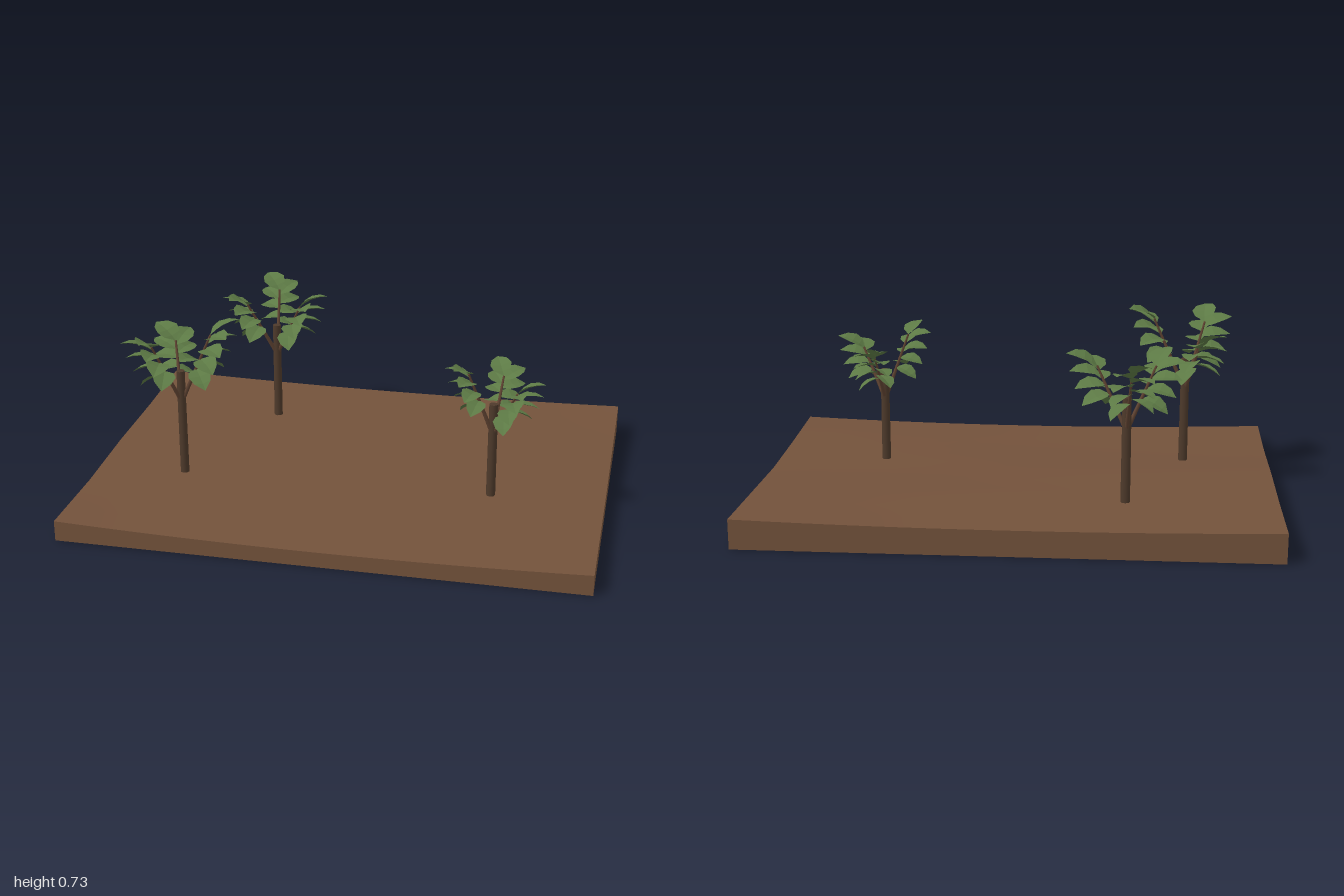
import * as THREE from 'three';

const soil = new THREE.MeshStandardMaterial({ color: 0x73523b });
soil.name = 'soil brown';
const bark = new THREE.MeshStandardMaterial({ color: 0x4e3a2b });
bark.name = 'trunk bark';
const twig = new THREE.MeshStandardMaterial({ color: 0x5e4231 });
twig.name = 'branch brown';
const green = new THREE.MeshStandardMaterial({ color: 0x5d7a45, side: THREE.DoubleSide });
green.name = 'leaf green';

// Ground heights: rows from back to front, each at left, middle and right of x
const HEIGHTS = [
  [0.115, 0.1, 0.115],
  [0.1, 0.098, 0.095],
  [0.095, 0.085, 0.075],
  [0.078, 0.07, 0.075],
  [0.08, 0.06, 0.08],
];
const DEPTH = 0.73;

function groundHeight(x, z) {
  const row = ([l, c, r]) => c + ((r - l) / 2) * x + ((l + r) / 2 - c) * x * x;
  const f = THREE.MathUtils.clamp(((z + DEPTH) / (2 * DEPTH)) * 4, 0, 4);
  const i = Math.min(3, Math.floor(f));
  return THREE.MathUtils.lerp(row(HEIGHTS[i]), row(HEIGHTS[i + 1]), f - i);
}

// Slab with a gently rolling top
function makeGround() {
  const geo = new THREE.BoxGeometry(2, 1, 2 * DEPTH, 16, 1, 12);
  const p = geo.attributes.position;
  for (let i = 0; i < p.count; i++) {
    p.setY(i, p.getY(i) > 0 ? groundHeight(p.getX(i), p.getZ(i)) : 0);
  }
  geo.computeVertexNormals();
  const mesh = new THREE.Mesh(geo, soil);
  mesh.name = 'ground';
  return mesh;
}

// Pointed leaf along +x: arched lengthwise, folded along the midrib
function makeLeafGeometry() {
  const stations = [
    [0, 0.006, 0], [0.2, 0.3, 0.05], [0.45, 0.38, 0.07], [0.75, 0.27, 0.03], [1, 0.005, -0.05],
  ];
  const pos = [];
  const index = [];
  stations.forEach(([x, w, y], i) => {
    pos.push(x, y + w * 0.22, -w, x, y, 0, x, y + w * 0.22, w);
    if (i === 0) return;
    for (let k = 0; k < 2; k++) {
      const a = (i - 1) * 3 + k;
      index.push(a, a + 1, a + 3, a + 1, a + 4, a + 3);
    }
  });
  const geo = new THREE.BufferGeometry();
  geo.setAttribute('position', new THREE.Float32BufferAttribute(pos, 3));
  geo.setIndex(index);
  const flat = geo.toNonIndexed();
  flat.computeVertexNormals();
  return flat;
}

// Tapered rod between two points
function makeRod(a, b, r0, r1, material, name) {
  const dir = b.clone().sub(a);
  const mesh = new THREE.Mesh(new THREE.CylinderGeometry(r1, r0, dir.length(), 8), material);
  mesh.position.copy(a).add(b).multiplyScalar(0.5);
  mesh.quaternion.setFromUnitVectors(new THREE.Vector3(0, 1, 0), dir.normalize());
  mesh.name = name;
  return mesh;
}

// Branch leaning outward along +x with leaves alternating left and right
function makeBranch(leafGeo, rise, size) {
  const branch = new THREE.Group();
  branch.name = 'branch';
  const start = new THREE.Vector3(0, 0, 0);
  const end = new THREE.Vector3(0.125 * size, rise, 0);
  branch.add(makeRod(start, end, 0.009, 0.004, twig, 'branchStem'));
  const count = 8;
  for (let i = 0; i < count; i++) {
    const t = i / (count - 1);
    const side = i % 2 ? -1 : 1;
    const leaf = new THREE.Mesh(leafGeo, green);
    leaf.name = 'leaf';
    leaf.position.lerpVectors(start, end, 0.5 + 0.5 * t);
    leaf.rotation.order = 'YZX';
    leaf.rotation.y = -side * (0.9 - 0.3 * t);
    leaf.rotation.z = -0.4 + 0.85 * t;
    leaf.rotation.x = side * 0.2;
    leaf.scale.setScalar((0.115 + 0.01 * t) * size);
    branch.add(leaf);
  }
  return branch;
}

// Each tree: place, trunk top, fork height, branches as [degrees from +x to +z, leaf top, size]
const TREES = [
  { x: -0.655, z: 0.21, top: 0.51, fork: 0.38, branches: [[-115, 0.64, 1], [3, 0.72, 1.03], [127, 0.69, 1.03]] },
  { x: -0.425, z: -0.385, top: 0.505, fork: 0.375, branches: [[-98, 0.67, 0.95], [25, 0.66, 1], [148, 0.66, 1]] },
  { x: 0.562, z: 0.16, top: 0.455, fork: 0.33, branches: [[-78, 0.58, 0.87], [35, 0.58, 0.92], [150, 0.64, 0.85]] },
];

export function createModel() {
  const model = new THREE.Group();
  model.name = 'grove';
  model.add(makeGround());
  const leafGeo = makeLeafGeometry();
  for (const { x, z, top, fork, branches } of TREES) {
    const tree = new THREE.Group();
    tree.name = 'tree';
    tree.position.set(x, 0, z);
    const foot = new THREE.Vector3(0, groundHeight(x, z) - 0.008, 0);
    tree.add(makeRod(foot, new THREE.Vector3(0, top, 0), 0.018, 0.017, bark, 'trunk'));
    for (const [degrees, leafTop, size] of branches) {
      const branch = makeBranch(leafGeo, leafTop - 0.05 - fork, size);
      branch.position.y = fork;
      branch.rotation.y = -THREE.MathUtils.degToRad(degrees);
      tree.add(branch);
    }
    model.add(tree);
  }
  return model;
}
